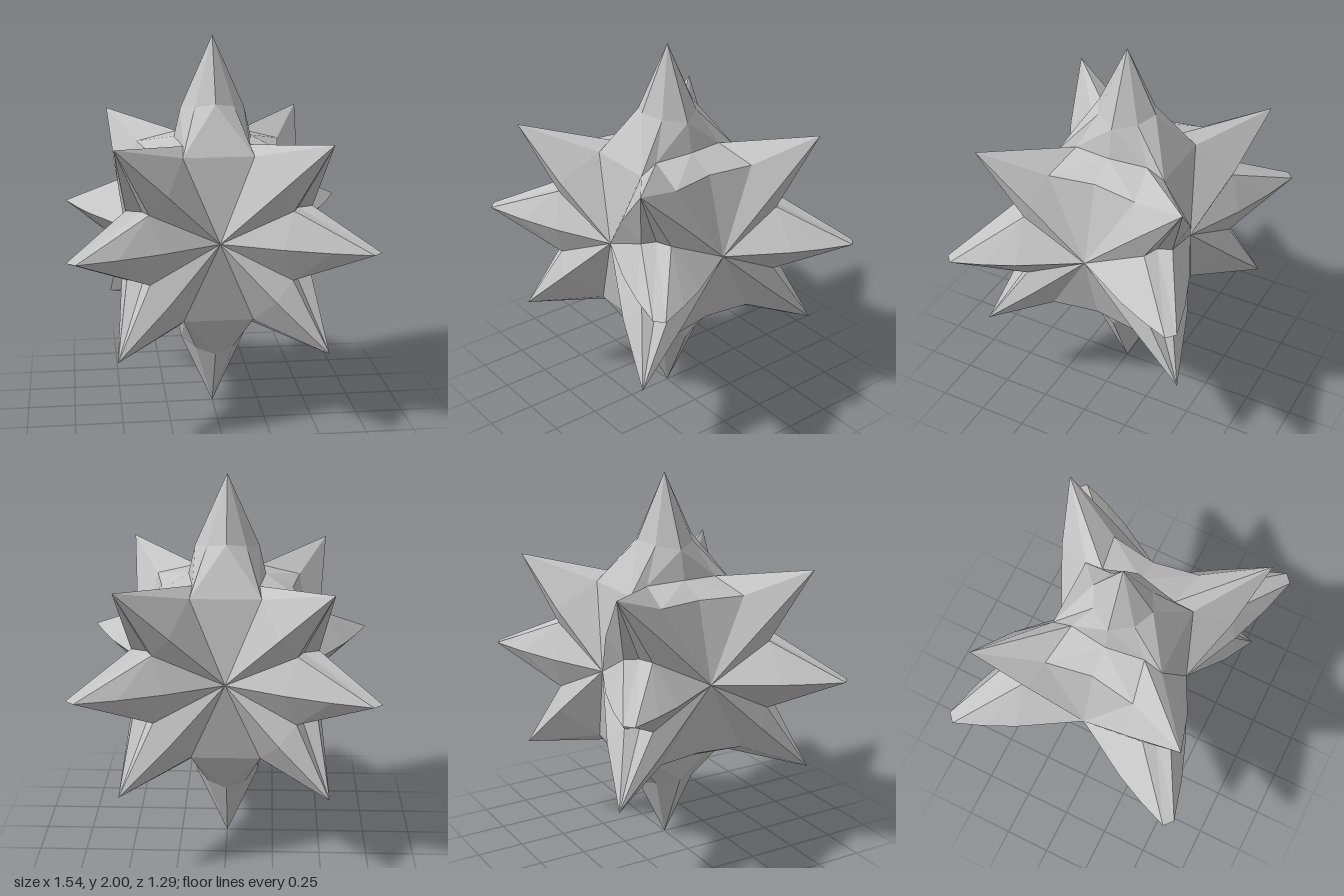
import * as THREE from 'three';

// Key points of one octant (x, y above the middle, z); F faces the front, S the side
const P = {
  front: [0, 0, 0.37], side: [0.46, 0, 0],                   // hubs of the star faces
  top: [0, 1, 0],
  topF: [0, 0.43, 0.3], topF2: [0, 0.67, 0.16],              // creases of the vertical point
  topS: [0.34, 0.41, 0], topS1: [0.2, 0.48, 0], topS2: [0.165, 0.63, 0],
  upper2: [0.1, 0.65, 0.11],
  upperF: [0.18, 0.43, 0.3], upperS: [0.38, 0.41, 0.24],     // notch between vertical and corner points
  upperIn: [0.17, 0.47, 0.2],
  lowerF: [0.36, 0.18, 0.44], lowerS: [0.47, 0.18, 0.34],    // notch between corner and side points
  lowerIn: [0.39, 0.18, 0.37],
  corner: [0.53, 0.535, 0.565],
  cornerF: [0.27, 0.28, 0.49], cornerS: [0.5, 0.28, 0.29],
  tipF: [0.725, 0, 0.645], tipS: [0.77, 0, 0.605],           // blunt end of the side point
  ridgeF: [0.3, 0, 0.51], ridgeF2: [0.52, 0, 0.59],
  ridgeS: [0.64, 0, 0.3], ridgeS2: [0.71, 0, 0.45],
};

// Each part is a set of fans: a hub point and the path around it
const PARTS = {
  verticalPoint: [
    ['upperS', ['side', 'topS', 'topS1', 'upperIn']],
    ['upperIn', ['topS1', 'topS2', 'upper2']],
    ['upperF', ['upperIn', 'upper2', 'topF2', 'topF', 'front']],
    ['upper2', ['topS2', 'top', 'topF2']],
  ],
  cornerPoint: [
    ['upperF', ['front', 'cornerF', 'corner', 'upperIn']],
    ['upperS', ['upperIn', 'corner', 'cornerS', 'side']],
    ['lowerS', ['side', 'cornerS', 'corner', 'lowerIn']],
    ['lowerF', ['lowerIn', 'corner', 'cornerF', 'front']],
  ],
  sidePoint: [
    ['lowerF', ['front', 'ridgeF', 'ridgeF2', 'tipF', 'lowerIn']],
    ['lowerIn', ['tipF', 'tipS']],
    ['lowerS', ['lowerIn', 'tipS', 'ridgeS2', 'ridgeS', 'side']],
  ],
};

// Builds the fans in the octant given by the signs, keeping faces outward
function octantGeometry(fans, sx, sy, sz) {
  const pos = [];
  const flip = sx * sy * sz < 0;
  const put = (name) => {
    const [x, y, z] = P[name];
    pos.push(x * sx, 1 + y * sy, z * sz);
  };
  for (const [hub, path] of fans) {
    for (let i = 0; i < path.length - 1; i++) {
      const [a, b] = flip ? [path[i + 1], path[i]] : [path[i], path[i + 1]];
      put(a);
      put(b);
      put(hub);
    }
  }
  const geo = new THREE.BufferGeometry();
  geo.setAttribute('position', new THREE.Float32BufferAttribute(pos, 3));
  geo.computeVertexNormals();
  return geo;
}

export function createModel() {
  const paper = new THREE.MeshStandardMaterial({ color: 0xc4c4c4, flatShading: true });
  paper.name = 'lightGrey';

  const model = new THREE.Group();
  model.name = 'foldedStar';
  for (const [name, fans] of Object.entries(PARTS)) {
    const group = new THREE.Group();
    group.name = name + 's';
    for (const sx of [1, -1]) for (const sy of [1, -1]) for (const sz of [1, -1]) {
      const mesh = new THREE.Mesh(octantGeometry(fans, sx, sy, sz), paper);
      mesh.name = name;
      group.add(mesh);
    }
    model.add(group);
  }
  return model;
}
